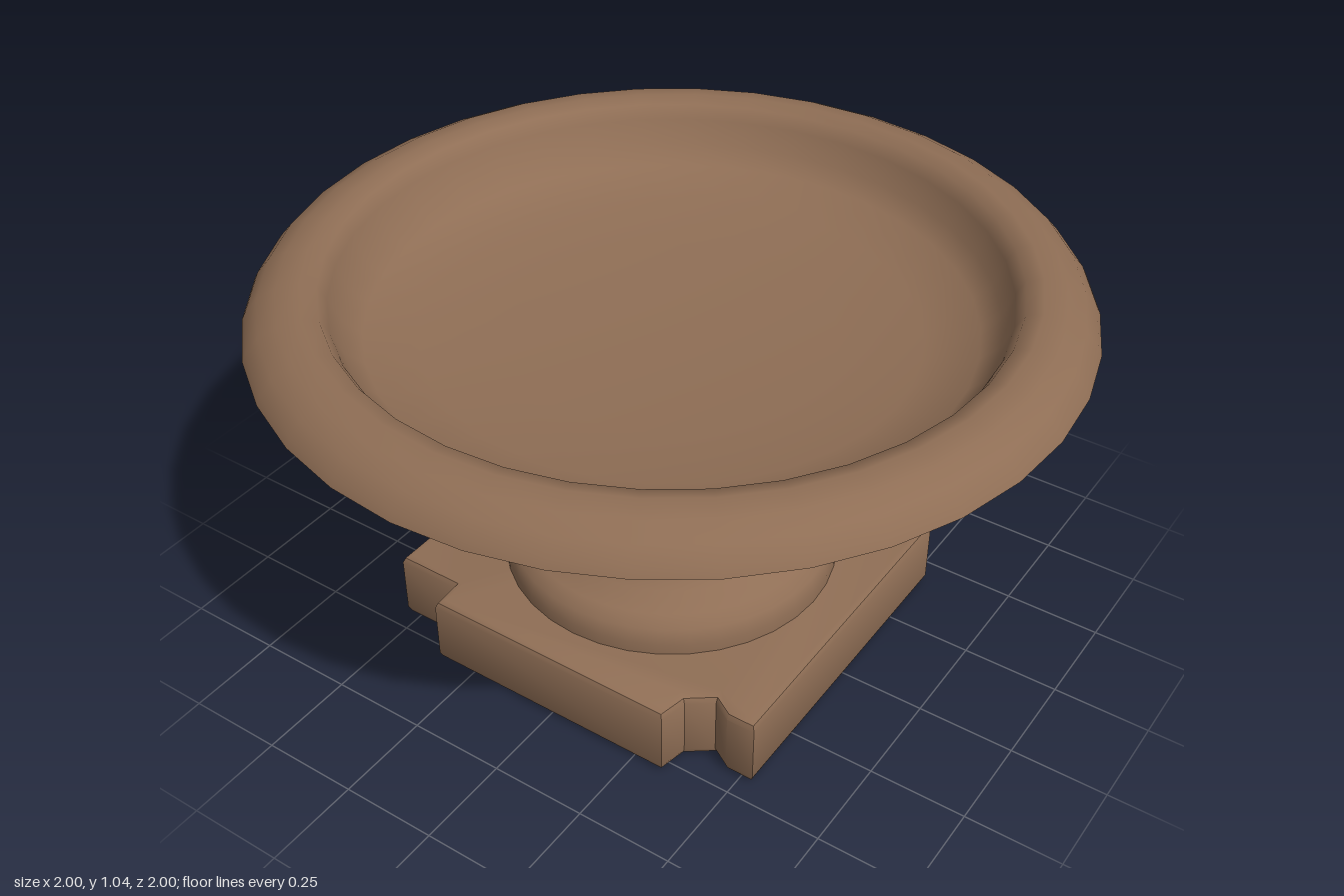
import * as THREE from 'three';
import { toCreasedNormals } from 'three/addons/utils/BufferGeometryUtils.js';

const terracotta = new THREE.MeshStandardMaterial({ color: 0x8f6e55 });
terracotta.name = 'terracotta';

const V = (list) => list.map(([x, y]) => new THREE.Vector2(x, y));

// Turned part from a profile of [radius, height], listed counter-clockwise
function turned(name, profile, crease) {
  const geometry = toCreasedNormals(new THREE.LatheGeometry(V(profile), 36), crease);
  const mesh = new THREE.Mesh(geometry, terracotta);
  mesh.name = name;
  return mesh;
}

export function createModel() {
  const group = new THREE.Group();
  group.name = 'pedestalBowl';

  // Square plinth: front and back panels stand proud, one corner of each is chipped
  const half = [
    [-0.535, 0.44], [-0.36, 0.44], [-0.355, 0.525],
    [0.335, 0.525], [0.35, 0.45], [0.41, 0.405], [0.46, 0.435], [0.535, 0.435],
  ];
  const outline = [...half, ...half.map(([x, z]) => [-x, -z])];
  const bevel = 0.02;
  const plinthGeometry = new THREE.ExtrudeGeometry(new THREE.Shape(V(outline)), {
    depth: 0.195 - 2 * bevel, bevelEnabled: true, bevelSize: bevel,
    bevelOffset: -bevel, bevelThickness: bevel, bevelSegments: 2,
  });
  // Lay it flat with the outline's second axis along +z
  plinthGeometry.rotateX(Math.PI / 2);
  plinthGeometry.translate(0, 0.2 - bevel, 0.01);
  const plinth = new THREE.Mesh(toCreasedNormals(plinthGeometry, 0.65), terracotta);
  plinth.name = 'plinth';
  group.add(plinth);

  // Moulded foot, waisted stem and collar
  group.add(turned('stem', [
    [0.43, 0.195], [0.43, 0.23], [0.42, 0.27], [0.39, 0.295], [0.335, 0.32],
    [0.305, 0.37], [0.28, 0.42], [0.275, 0.48], [0.275, 0.54], [0.285, 0.59],
    [0.295, 0.615], [0.335, 0.62], [0.345, 0.645], [0.35, 0.672],
  ], 0.8));

  // Bowl: underside, flared rolled rim, then a shallow dished basin
  group.add(turned('bowl', [
    [0.33, 0.665], [0.5, 0.695], [0.65, 0.73], [0.71, 0.76], [0.75, 0.81],
    [0.835, 0.942], [0.98, 0.945], [1, 0.955], [0.99, 0.975], [0.96, 1.01],
    [0.915, 1.034], [0.86, 1.044], [0.82, 1.034], [0.8, 1.0],
    [0.775, 0.94], [0.73, 0.9], [0.6, 0.87], [0.4, 0.852], [0.2, 0.844], [0, 0.84],
  ], 0.9));

  return group;
}
